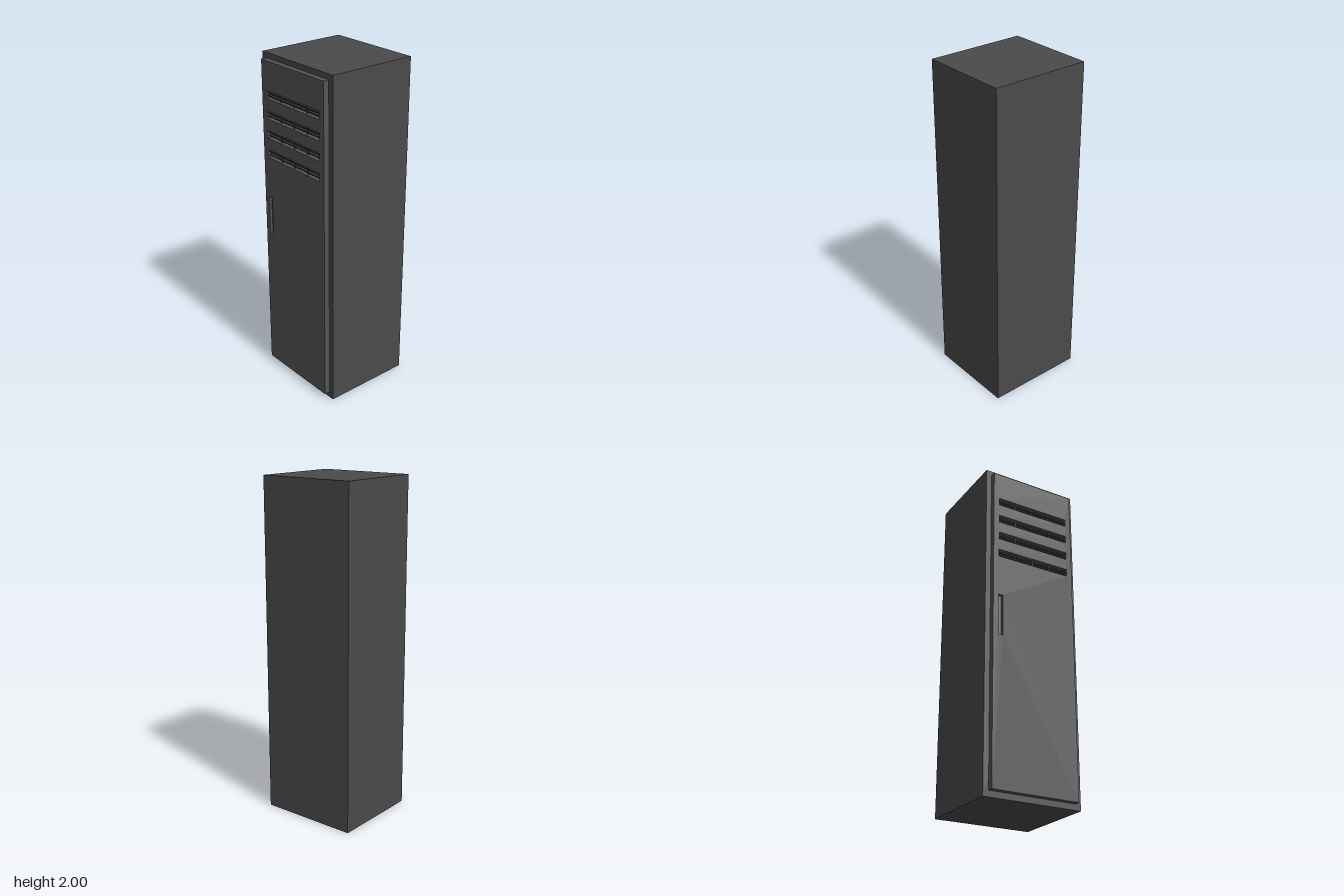
import * as THREE from 'three';

const material = (color) => new THREE.MeshStandardMaterial({ color });
const bodyMat = material(0x4a4a4a);
const doorMat = material(0x555555);
const ventMat = material(0x3c3c3c);
const handleMat = material(0x6a6a6a);

// Box given by its centre and size
function box(name, mat, [x, y, z], [w, h, d]) {
  const mesh = new THREE.Mesh(new THREE.BoxGeometry(w, h, d), mat);
  mesh.name = name;
  mesh.position.set(x, y, z);
  return mesh;
}

// Rectangular outline around a centre
function rect(target, x, y, w, h) {
  target.moveTo(x - w / 2, y - h / 2);
  target.lineTo(x + w / 2, y - h / 2);
  target.lineTo(x + w / 2, y + h / 2);
  target.lineTo(x - w / 2, y + h / 2);
  target.closePath();
  return target;
}

export function createModel() {
  const locker = new THREE.Group();
  locker.name = 'locker';
  const seam = 0.256, front = 0.29;
  const ventRows = [1.778, 1.66, 1.545, 1.429];
  const ventWidth = 0.462, ventHeight = 0.046;
  const handle = { x: -0.219, y: 1.035, w: 0.027, h: 0.248 };

  // Cabinet
  locker.add(box('cabinet', bodyMat, [0, 1, (seam - front) / 2], [0.6, 2, seam + front]));

  // Door panel with vent slots and a handle pocket cut through
  const outline = rect(new THREE.Shape(), 0, 1.002, 0.534, 1.934);
  for (const y of ventRows) outline.holes.push(rect(new THREE.Path(), 0, y, ventWidth, ventHeight));
  outline.holes.push(rect(new THREE.Path(), handle.x, handle.y, handle.w, handle.h));
  const door = new THREE.Mesh(
    new THREE.ExtrudeGeometry(outline, { depth: front - seam, bevelEnabled: false }), doorMat);
  door.name = 'door';
  door.position.z = seam;
  locker.add(door);

  // Vents: dark backing, two thin slats and three upright dividers per slot
  ventRows.forEach((y, row) => {
    const vent = new THREE.Group();
    vent.name = `vent${row + 1}`;
    vent.position.set(0, y, 0);
    vent.add(box('ventBacking', ventMat, [0, 0, seam + 0.004], [ventWidth, ventHeight, 0.008]));
    for (const side of [-1, 1])
      vent.add(box('slat', ventMat, [0, side * 0.009, seam + 0.016], [ventWidth, 0.006, 0.018]));
    for (const x of [-0.115, 0, 0.115])
      vent.add(box('divider', ventMat, [x, 0, seam + 0.015], [0.004, ventHeight, 0.016]));
    locker.add(vent);
  });

  // Recessed pull handle inside its pocket
  locker.add(box('handle', handleMat, [handle.x, handle.y, seam + 0.01], [handle.w - 0.006, handle.h - 0.006, 0.02]));
  return locker;
}
